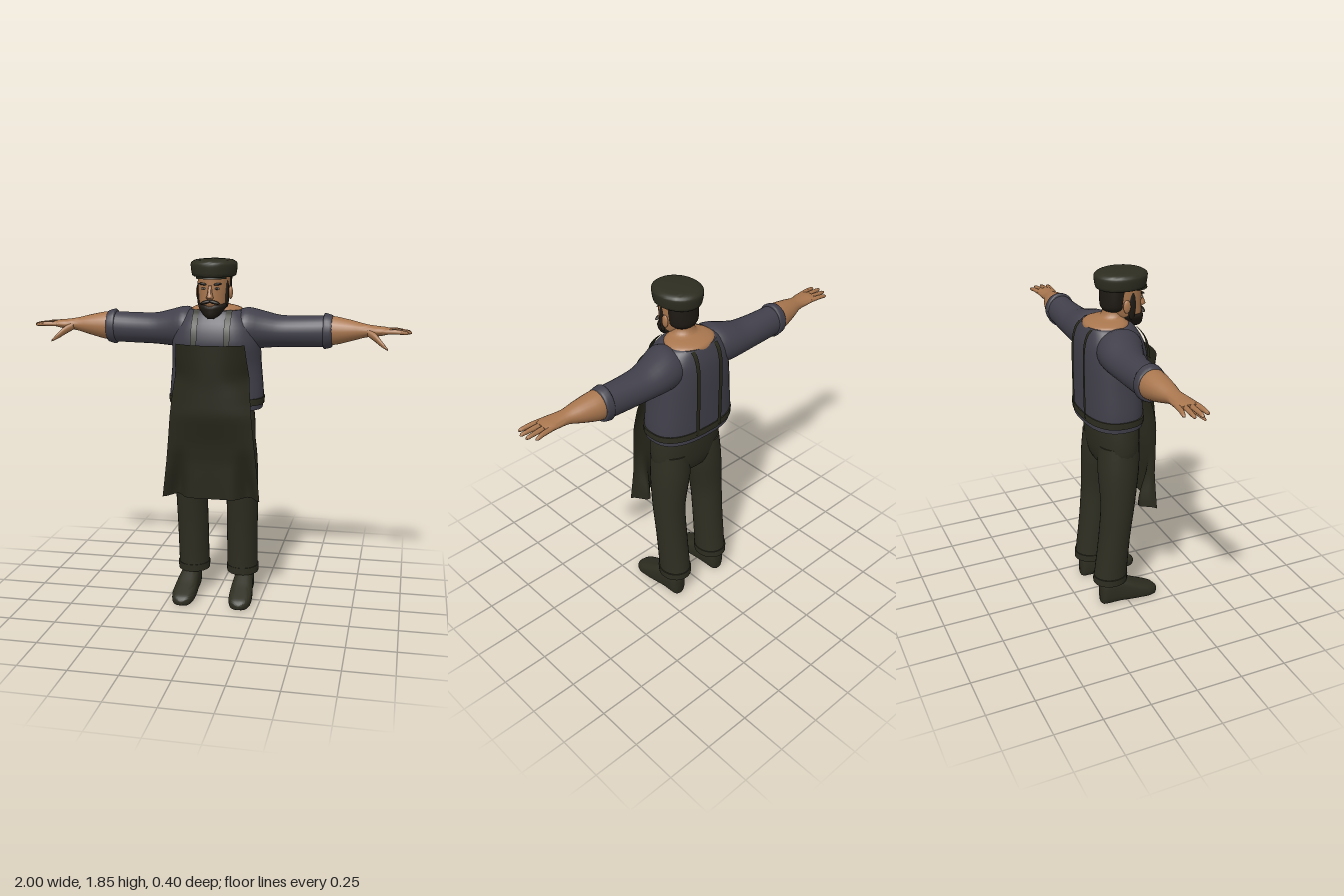
import * as THREE from 'three';
import { toCreasedNormals } from 'three/addons/utils/BufferGeometryUtils.js';

const mat = (name, color, side = THREE.FrontSide) => {
  const m = new THREE.MeshStandardMaterial({ color, side });
  m.name = name;
  return m;
};

// Loft of superellipse rings [t, c1, c2, r1, r2] along an axis.
// y: (x, z) sections, x: (y, z) sections, z: (x, y) sections. side mirrors x.
function loft(rings, { axis = 'y', side = 1, seg = 28, power = 1, steps = 3 } = {}) {
  const centre = new THREE.CatmullRomCurve3(rings.map(r => new THREE.Vector3(r[0], r[1], r[2])), false, 'catmullrom', 0.4);
  const radius = new THREE.CatmullRomCurve3(rings.map(r => new THREE.Vector3(r[3], r[4], 0)), false, 'catmullrom', 0.4);
  const rows = (rings.length - 1) * steps;
  const pos = [], index = [];
  const put = (t, a, b) => {
    const p = axis === 'y' ? [a, t, b] : axis === 'x' ? [t, a, b] : [a, b, t];
    pos.push(p[0] * side, p[1], p[2]);
  };
  const bend = v => Math.sign(v) * Math.abs(v) ** power;
  for (let i = 0; i <= rows; i++) {
    const c = centre.getPoint(i / rows), r = radius.getPoint(i / rows);
    for (let j = 0; j < seg; j++) {
      const a = j / seg * Math.PI * 2;
      put(c.x, c.y + r.x * bend(Math.cos(a)), c.z + r.y * bend(Math.sin(a)));
    }
  }
  const first = rings[0], last = rings[rings.length - 1], cap = (rows + 1) * seg;
  put(first[0], first[1], first[2]);
  put(last[0], last[1], last[2]);
  for (let j = 0; j < seg; j++) {
    const k = (j + 1) % seg;
    for (let i = 0; i < rows; i++) {
      const a = i * seg + j, b = i * seg + k;
      index.push(a, a + seg, b, b, a + seg, b + seg);
    }
    index.push(cap, j, k, cap + 1, rows * seg + k, rows * seg + j);
  }
  // Turn the faces outward whichever axis or side was used
  const mirrored = (axis === 'y' ? 1 : -1) * side * Math.sign(last[0] - first[0]);
  if (mirrored < 0) index.reverse();
  const g = new THREE.BufferGeometry();
  g.setAttribute('position', new THREE.Float32BufferAttribute(pos, 3));
  g.setIndex(index);
  return toCreasedNormals(g, 0.9);
}

// Piecewise linear lookup in [[key, value], ...] with falling keys
function lookup(table, y) {
  for (let i = 1; i < table.length; i++) {
    const [a, va] = table[i - 1], [b, vb] = table[i];
    if (y >= b) return THREE.MathUtils.lerp(va, vb, (a - y) / (a - b));
  }
  return table[table.length - 1][1];
}

// Flat strap following [x, y, z] points, with its width along x
function strap(points, width) {
  const curve = new THREE.CatmullRomCurve3(points.map(p => new THREE.Vector3(...p)));
  const g = new THREE.PlaneGeometry(1, 1, 1, 20), p = g.attributes.position;
  for (let i = 0; i < p.count; i++) {
    const c = curve.getPoint(THREE.MathUtils.clamp(0.5 - p.getY(i), 0, 1));
    p.setXYZ(i, c.x + p.getX(i) * width, c.y, c.z);
  }
  g.computeVertexNormals();
  return g;
}

export function createModel() {
  const model = new THREE.Group();
  model.name = 'man in apron';
  const skin = mat('skin', 0xa8764e), shirt = mat('shirt grey', 0x41404b), cloth = mat('dark olive cloth', 0x2d2d21);
  const apronCloth = mat('apron olive', 0x28281c, THREE.DoubleSide);
  const hair = mat('dark hair', 0x1e1913), white = mat('eye white', 0xa89a8a);
  const add = (name, geometry, material, parent = model) => {
    const m = new THREE.Mesh(geometry, material);
    m.name = name;
    parent.add(m);
    return m;
  };
  const blob = (name, material, [x, y, z], [sx, sy, sz]) => {
    const m = add(name, new THREE.SphereGeometry(1, 16, 10), material);
    m.position.set(x, y, z);
    m.scale.set(sx, sy, sz);
    return m;
  };

  // Shirt body, belt and bare neckline
  add('shirtBody', loft([[1.07, 0, -0.04, 0.243, 0.15], [1.15, 0, -0.042, 0.248, 0.15], [1.3, 0, -0.042, 0.235, 0.152],
    [1.41, 0, -0.027, 0.23, 0.167], [1.5, 0, -0.032, 0.21, 0.155], [1.56, 0, -0.04, 0.165, 0.13],
    [1.583, 0, -0.045, 0.14, 0.115]], { power: 0.8, seg: 40 }), shirt);
  add('apronBelt', loft([[1.095, 0, -0.04, 0.252, 0.157], [1.13, 0, -0.04, 0.254, 0.157]], { power: 0.8, seg: 40 }), cloth);
  add('neckline', loft([[1.54, 0, -0.05, 0.14, 0.115], [1.586, 0, -0.05, 0.134, 0.112], [1.603, 0, -0.035, 0.1, 0.085],
    [1.62, 0, -0.005, 0.062, 0.064], [1.7, 0, 0.005, 0.058, 0.06]]), skin);

  // Apron: a tapering sheet with a folded hem
  const sheet = new THREE.PlaneGeometry(2, 1, 28, 28), p = sheet.attributes.position;
  const halfWidth = [[1.42, 0.178], [1.2, 0.2], [0.9, 0.228], [0.6, 0.26]];
  const middle = [[1.42, 0.198], [1.2, 0.187], [1.05, 0.185], [0.9, 0.15], [0.8, 0.138], [0.6, 0.13]];
  const edge = [[1.42, 0.145], [1.33, 0.12], [1.25, 0.088], [1.17, 0.12], [1.05, 0.14], [0.8, 0.125], [0.6, 0.137]];
  for (let i = 0; i < p.count; i++) {
    const u = p.getX(i), y = 1.01 + p.getY(i) * 0.82;
    const fold = 0.08 * THREE.MathUtils.smoothstep(0.9 - y, 0, 0.3) * Math.exp(-(((Math.abs(u) - 0.74) / 0.16) ** 2));
    const z = THREE.MathUtils.lerp(lookup(middle, y), lookup(edge, y), Math.abs(u) ** 2.5);
    p.setXYZ(i, u * lookup(halfWidth, y), y, z - fold);
  }
  sheet.computeVertexNormals();
  add('apron', sheet, apronCloth);

  // Trouser seat
  add('trouserSeat', loft([[1.09, 0, -0.02, 0.2, 0.128], [1, 0, -0.02, 0.21, 0.127], [0.9, 0, -0.02, 0.21, 0.117],
    [0.83, 0, -0.025, 0.17, 0.09], [0.8, 0, -0.025, 0.09, 0.05]], { power: 0.9 }), cloth);

  for (const s of [1, -1]) {
    const tag = s > 0 ? 'left' : 'right';
    // Sleeve, rolled cuff, forearm and hand
    add(tag + 'Sleeve', loft([[0.08, 1.475, -0.04, 0.09, 0.1], [0.16, 1.485, -0.042, 0.11, 0.122], [0.24, 1.48, -0.06, 0.097, 0.11],
      [0.33, 1.472, -0.07, 0.083, 0.093], [0.45, 1.472, -0.075, 0.081, 0.08], [0.58, 1.475, -0.076, 0.081, 0.072]],
    { axis: 'x', side: s }), shirt);
    add(tag + 'SleeveCuff', loft([[0.553, 1.475, -0.077, 0.082, 0.072], [0.56, 1.476, -0.077, 0.093, 0.078],
      [0.595, 1.476, -0.077, 0.084, 0.076], [0.6, 1.476, -0.077, 0.077, 0.07]], { axis: 'x', side: s }), shirt);
    add(tag + 'Forearm', loft([[0.56, 1.48, -0.075, 0.077, 0.07], [0.62, 1.48, -0.073, 0.072, 0.071], [0.7, 1.483, -0.065, 0.053, 0.058],
      [0.77, 1.485, -0.057, 0.034, 0.042], [0.83, 1.485, -0.05, 0.026, 0.05], [0.87, 1.487, -0.05, 0.02, 0.053],
      [0.9, 1.488, -0.05, 0.012, 0.046]], { axis: 'x', side: s, seg: 24 }), skin);
    [[-0.09, -0.105, 0.968], [-0.063, -0.07, 0.995], [-0.036, -0.033, 1], [-0.01, 0, 0.985]].forEach(([z0, z1, tip], i) =>
      add(tag + 'Finger' + (i + 1), loft([[0.86, 1.487, z0, 0.012, 0.013], [0.92, 1.488, (z0 + z1) / 2, 0.012, 0.012],
        [tip - 0.012, 1.484, z1, 0.009, 0.009], [tip, 1.482, z1, 0.003, 0.003]], { axis: 'x', side: s, seg: 10 }), skin));
    add(tag + 'Thumb', loft([[0.78, 1.48, -0.03, 0.02, 0.02], [0.82, 1.458, -0.002, 0.022, 0.019], [0.855, 1.428, 0.024, 0.015, 0.014],
      [0.885, 1.404, 0.042, 0.005, 0.005]], { axis: 'x', side: s, seg: 12 }), skin);

    // Trouser leg, turned cuff and shoe
    add(tag + 'TrouserLeg', loft([[0.95, 0.105, -0.022, 0.1, 0.11], [0.8, 0.115, -0.03, 0.106, 0.11], [0.6, 0.138, -0.043, 0.087, 0.092],
      [0.4, 0.137, -0.063, 0.084, 0.086], [0.2, 0.136, -0.083, 0.083, 0.09], [0.15, 0.136, -0.087, 0.084, 0.093]], { side: s }), cloth);
    add(tag + 'TrouserCuff', loft([[0.138, 0.137, -0.088, 0.086, 0.094], [0.178, 0.137, -0.086, 0.088, 0.095]], { side: s }), cloth);
    add(tag + 'Shoe', loft([[-0.147, 0.15, 0.07, 0.03, 0.066], [-0.13, 0.15, 0.076, 0.045, 0.076], [-0.05, 0.15, 0.078, 0.05, 0.078],
      [0, 0.152, 0.067, 0.056, 0.067], [0.06, 0.154, 0.051, 0.061, 0.051], [0.12, 0.156, 0.037, 0.06, 0.037],
      [0.16, 0.156, 0.028, 0.046, 0.027], [0.18, 0.156, 0.024, 0.02, 0.014]], { axis: 'z', side: s, power: 0.65 }), cloth);

    // Apron straps, front and back
    add(tag + 'FrontStrap', strap([[s * 0.085, 1.39, 0.154], [s * 0.085, 1.42, 0.152], [s * 0.085, 1.5, 0.132],
      [s * 0.085, 1.56, 0.09], [s * 0.085, 1.588, 0.06]], 0.032), apronCloth);
    add(tag + 'BackStrap', strap([[s * 0.075, 1.58, -0.157], [s * 0.075, 1.555, -0.178], [s * 0.075, 1.5, -0.195], [s * 0.075, 1.41, -0.2],
      [s * 0.075, 1.3, -0.2], [s * 0.075, 1.11, -0.198]], 0.024), apronCloth);

    // Ear, sideburn and eye
    blob(tag + 'Ear', skin, [s * 0.085, 1.675, 0.03], [0.011, 0.034, 0.02]);
    blob(tag + 'Sideburn', hair, [s * 0.071, 1.675, 0.062], [0.012, 0.075, 0.022]);
    blob(tag + 'Eye', white, [s * 0.034, 1.7, 0.132], [0.014, 0.006, 0.005]);
    blob(tag + 'Pupil', hair, [s * 0.034, 1.7, 0.135], [0.006, 0.006, 0.004]);
    blob(tag + 'Brow', hair, [s * 0.036, 1.722, 0.133], [0.024, 0.006, 0.008]).rotation.z = s * 0.12;
    blob(tag + 'Moustache', hair, [s * 0.022, 1.632, 0.14], [0.03, 0.009, 0.012]).rotation.z = -s * 0.25;
  }

  // Head, nose, lips, beard and hair
  add('head', loft([[1.565, 0, 0.09, 0.03, 0.035], [1.585, 0, 0.078, 0.055, 0.06], [1.62, 0, 0.053, 0.07, 0.088],
    [1.66, 0, 0.041, 0.076, 0.1], [1.7, 0, 0.037, 0.08, 0.104], [1.77, 0, 0.035, 0.08, 0.107]]), skin);
  add('nose', loft([[1.645, 0, 0.14, 0.012, 0.012], [1.655, 0, 0.143, 0.019, 0.026], [1.672, 0, 0.142, 0.013, 0.022],
    [1.715, 0, 0.136, 0.008, 0.01]], { seg: 12 }), skin);
  add('beard', loft([[1.547, 0, 0.118, 0.014, 0.016], [1.562, 0, 0.105, 0.038, 0.042], [1.59, 0, 0.084, 0.062, 0.066],
    [1.612, 0, 0.068, 0.074, 0.08], [1.632, 0, 0.05, 0.07, 0.06]]), hair);
  blob('lips', skin, [0, 1.614, 0.143], [0.018, 0.005, 0.008]);
  add('hair', loft([[1.645, 0, -0.005, 0.06, 0.055], [1.665, 0, -0.012, 0.078, 0.06], [1.71, 0, -0.01, 0.084, 0.064],
    [1.77, 0, -0.005, 0.086, 0.07]]), hair);

  // Flat cap with a short visor
  add('cap', loft([[1.757, 0, 0.033, 0.103, 0.124], [1.765, 0, 0.033, 0.112, 0.13], [1.8, 0, 0.033, 0.118, 0.136],
    [1.824, 0, 0.033, 0.117, 0.135], [1.839, 0, 0.033, 0.095, 0.11], [1.845, 0, 0.033, 0.045, 0.055]], { seg: 36 }), cloth);
  add('capVisor', loft([[1.748, 0, 0.105, 0.078, 0.065], [1.757, 0, 0.105, 0.078, 0.063]]), cloth);
  return model;
}
